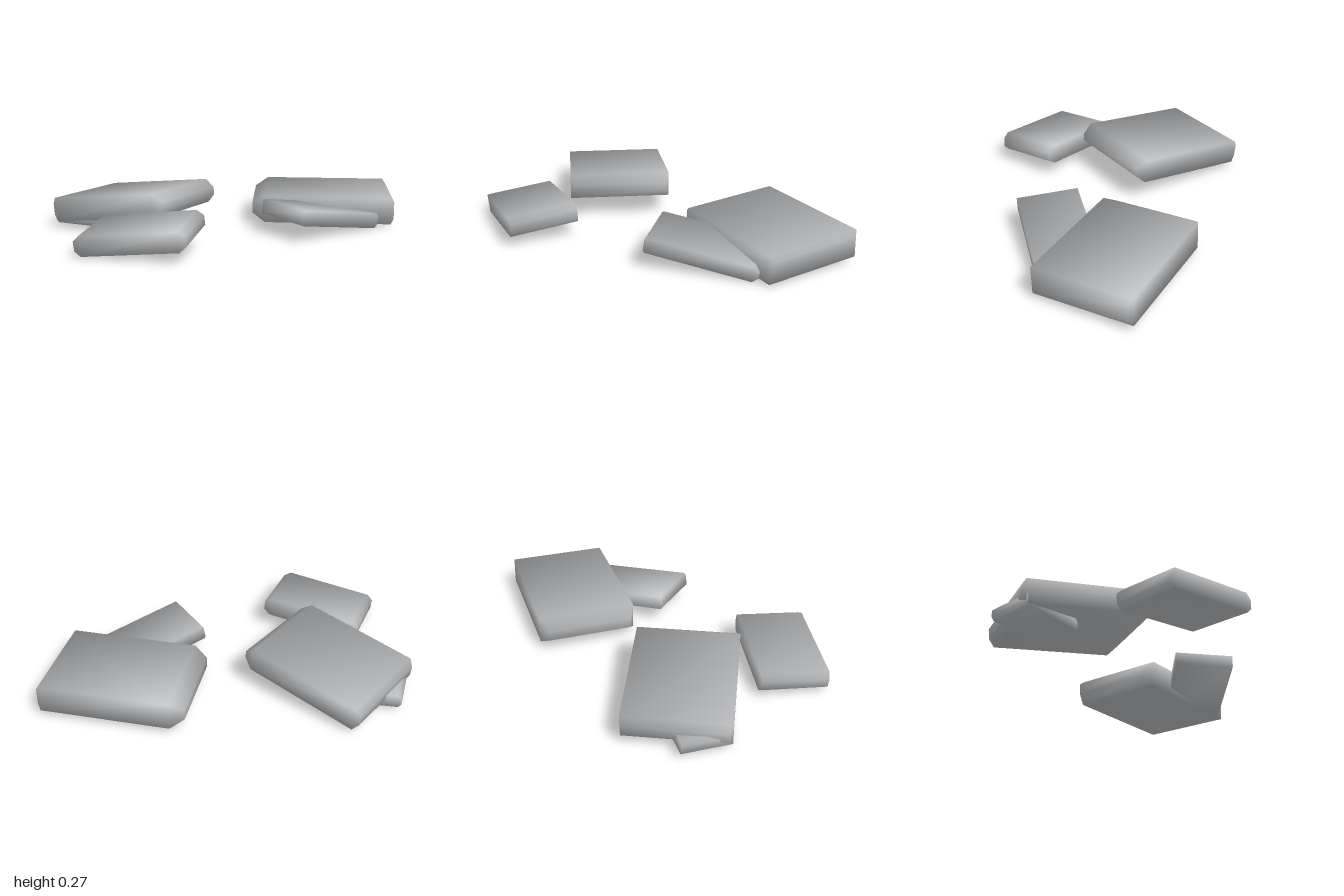
import * as THREE from 'three';

// Stone slab with chamfered ends; each chamfer is [cut along x, y, z]
function slabGeometry(w, h, d, left, right) {
  const x = w / 2, y = h / 2, z = d / 2;
  const [lx, ly, lz] = left, [rx, ry, rz] = right;
  // Cross-section, counter-clockwise: x, y, half depth
  const ring = [
    [x, ry - y, z - rz], [x, y - ry, z - rz], [x - rx, y, z], [lx - x, y, z],
    [-x, y - ly, z - lz], [-x, ly - y, z - lz], [lx - x, -y, z], [x - rx, -y, z],
  ];
  const positions = [], normals = [], index = [];
  for (const side of [1, -1]) {
    for (const [px, py, pz] of ring) {
      positions.push(px, py, pz * side);
      // Soft, pillow-like shading
      const n = new THREE.Vector3(px / x, py / y, side * pz / z).normalize();
      normals.push(n.x, n.y, n.z);
    }
  }
  const quad = (a, b, c, e) => index.push(a, b, c, a, c, e);
  for (let i = 0; i < 8; i++) {
    const j = (i + 1) % 8;
    quad(i, i + 8, j + 8, j);
  }
  for (const [a, b, c, e] of [[7, 0, 1, 2], [6, 7, 2, 3], [3, 4, 5, 6]]) {
    quad(a, b, c, e);
    quad(e + 8, c + 8, b + 8, a + 8);
  }
  const geometry = new THREE.BufferGeometry();
  geometry.setAttribute('position', new THREE.Float32BufferAttribute(positions, 3));
  geometry.setAttribute('normal', new THREE.Float32BufferAttribute(normals, 3));
  geometry.setIndex(index);
  return geometry;
}

export function createModel() {
  const group = new THREE.Group();
  group.name = 'scatteredSlabs';
  const stone = new THREE.MeshStandardMaterial({ color: 0xb4b6b8 });
  stone.name = 'greyStone';

  const slabs = [
    { name: 'backSlab', size: [0.87, 0.165, 0.6], at: [0.5, 0.11, -0.55],
      turn: [0.03, 0.295, 0.0], left: [0.08, 0.05, 0.04], right: [0.02, 0.03, 0.02] },
    { name: 'leftSlab', size: [0.81, 0.145, 0.61], at: [-0.515, 0.155, 0.11],
      turn: [0.0, -0.155, 0.125], left: [0.03, 0.04, 0.015], right: [0.06, 0.05, 0.02] },
    { name: 'frontSlab', size: [0.625, 0.115, 0.41], at: [-0.17, 0.107, 0.72],
      turn: [0.08, 0.145, 0.1], left: [0.035, 0.03, 0.005], right: [0.04, 0.03, 0.005] },
    { name: 'rightLeaningSlab', size: [0.645, 0.09, 0.36], at: [0.605, 0.1, -0.165],
      turn: [0.04, 1.044, -0.16], left: [0.01, 0.01, 0], right: [0.03, 0.025, 0.01] },
    { name: 'smallBuriedSlab', size: [0.38, 0.08, 0.29], at: [-0.78, 0.055, 0.17],
      turn: [0.0, 0.24, -0.08], left: [0.02, 0.02, 0], right: [0.03, 0.02, 0.01] },
  ];

  for (const { name, size, at, turn, left, right } of slabs) {
    const mesh = new THREE.Mesh(slabGeometry(...size, left, right), stone);
    mesh.name = name;
    mesh.position.set(...at);
    mesh.rotation.set(...turn, 'YXZ');
    group.add(mesh);
  }
  return group;
}
